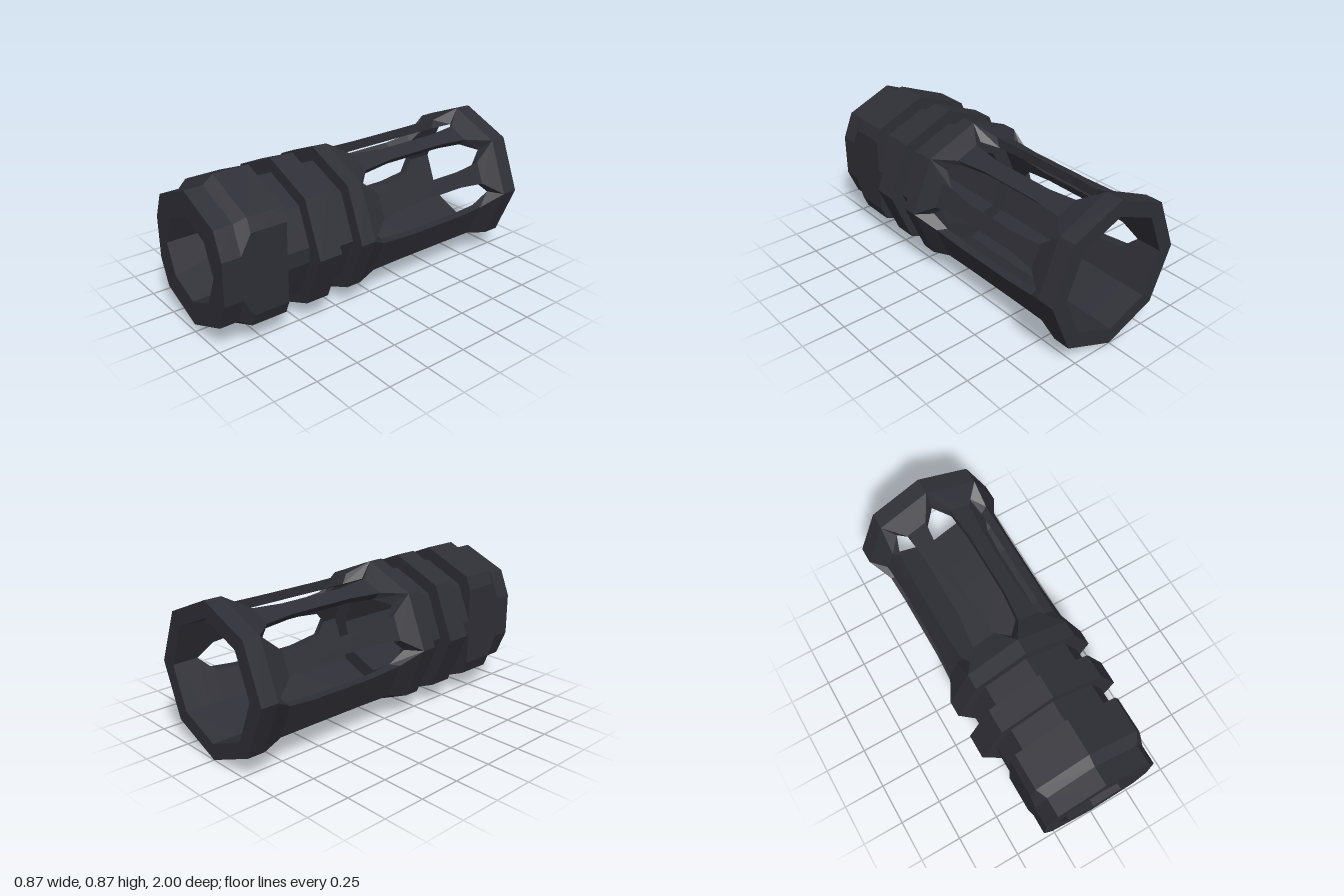
import * as THREE from 'three';

const AXIS_Y = 0.433;
const STEP = Math.PI / 4;

const gunmetal = new THREE.MeshStandardMaterial({ color: 0x2e2e36, flatShading: true });
gunmetal.name = 'gunmetal';

// Octagon corner i at radius R, moved sideways by w along the edge in direction dir (+1 ccw, -1 cw)
function corner(i, R, z, w = 0, dir = 1) {
  const a = i * STEP, b = a + dir * (Math.PI / 2 + STEP / 2);
  const d = w / Math.cos(STEP / 2);
  return new THREE.Vector3(
    R * Math.cos(a) + d * Math.cos(b), AXIS_Y + R * Math.sin(a) + d * Math.sin(b), z);
}

// Collects quads as flat triangles, dropping collapsed ones
function quadMesh(name, build) {
  const pos = [];
  const tri = (a, b, c) => {
    const area = b.clone().sub(a).cross(c.clone().sub(a)).length();
    if (area > 1e-7) for (const p of [a, b, c]) pos.push(p.x, p.y, p.z);
  };
  build((a, b, c, d) => { tri(a, b, c); tri(a, c, d); });
  const geo = new THREE.BufferGeometry();
  geo.setAttribute('position', new THREE.Float32BufferAttribute(pos, 3));
  geo.computeVertexNormals();
  const mesh = new THREE.Mesh(geo, gunmetal);
  mesh.name = name;
  return mesh;
}

// Octagon with its two side corners cut flat at |x| = flat
function bodySection([z, R, flat = 1]) {
  const cut = Math.max(0, R - flat) * Math.tan(3 * STEP / 2);
  const pts = [];
  for (let i = 0; i < 8; i++) {
    if (i % 4) { pts.push(corner(i, R, z)); continue; }
    const s = i === 0 ? 1 : -1, x = s * Math.min(R, flat);
    pts.push(new THREE.Vector3(x, AXIS_Y - s * cut, z), new THREE.Vector3(x, AXIS_Y + s * cut, z));
  }
  return pts;
}

// Grooved collar: bore first, then around the front and back along the outside
function makeCollar() {
  const flat = 0.337;
  const rings = [
    [0.15, 0.34], [0.15, 0.247], [1, 0.247], [1, 0.388, flat],
    [0.89, 0.388, flat], [0.83, 0.433, flat], [0.62, 0.433, flat],
    [0.62, 0.355, flat], [0.485, 0.355, flat], [0.485, 0.433],
    [0.345, 0.433], [0.345, 0.355], [0.21, 0.355], [0.21, 0.433],
  ].map(bodySection);
  return quadMesh('groovedCollar', quad => {
    for (let k = 0; k < rings.length - 1; k++)
      for (let i = 0; i < 10; i++) {
        const j = (i + 1) % 10;
        quad(rings[k][i], rings[k + 1][i], rings[k + 1][j], rings[k][j]);
      }
  });
}

// Cage wall: outer z, inner z, outer radius, half width of slot
const STATIONS = [
  [0.21, 0.15, 0.433, 0], [0.12, 0.055, 0.433, 0], [0, -0.025, 0.396, 0.074],
  [-0.2, -0.2, 0.393, 0.095], [-0.6, -0.6, 0.393, 0.095], [-0.775, -0.765, 0.394, 0.078],
  [-0.9, -0.85, 0.433, 0], [-1, -1, 0.433, 0],
];
const INNER_R = 0.34;

// One of eight walls; slots open along the upper five corners only
function makeCageWall(i) {
  const slotA = i <= 4, slotB = (i + 1) % 8 <= 4;
  const rows = STATIONS.map(([zo, zi, R, w]) => {
    const wa = slotA ? w : 0, wb = slotB ? w : 0;
    return {
      oa: corner(i, R, zo, wa, 1), ob: corner(i + 1, R, zo, wb, -1),
      ia: corner(i, INNER_R, zi, wa, 1), ib: corner(i + 1, INNER_R, zi, wb, -1),
    };
  });
  return quadMesh('cageWall', quad => {
    for (let k = 0; k < rows.length - 1; k++) {
      const p = rows[k], q = rows[k + 1];
      const open = STATIONS[k][3] + STATIONS[k + 1][3] > 0;
      quad(p.oa, q.oa, q.ob, p.ob);
      quad(p.ia, p.ib, q.ib, q.ia);
      if (slotA && open) quad(p.oa, p.ia, q.ia, q.oa);
      if (slotB && open) quad(p.ob, q.ob, q.ib, p.ib);
    }
    const e = rows[rows.length - 1];
    quad(e.oa, e.ia, e.ib, e.ob);
  });
}

export function createModel() {
  const model = new THREE.Group();
  model.name = 'slottedMuzzle';
  model.add(makeCollar());
  const cage = new THREE.Group();
  cage.name = 'slottedCage';
  for (let i = 0; i < 8; i++) cage.add(makeCageWall(i));
  model.add(cage);
  return model;
}
